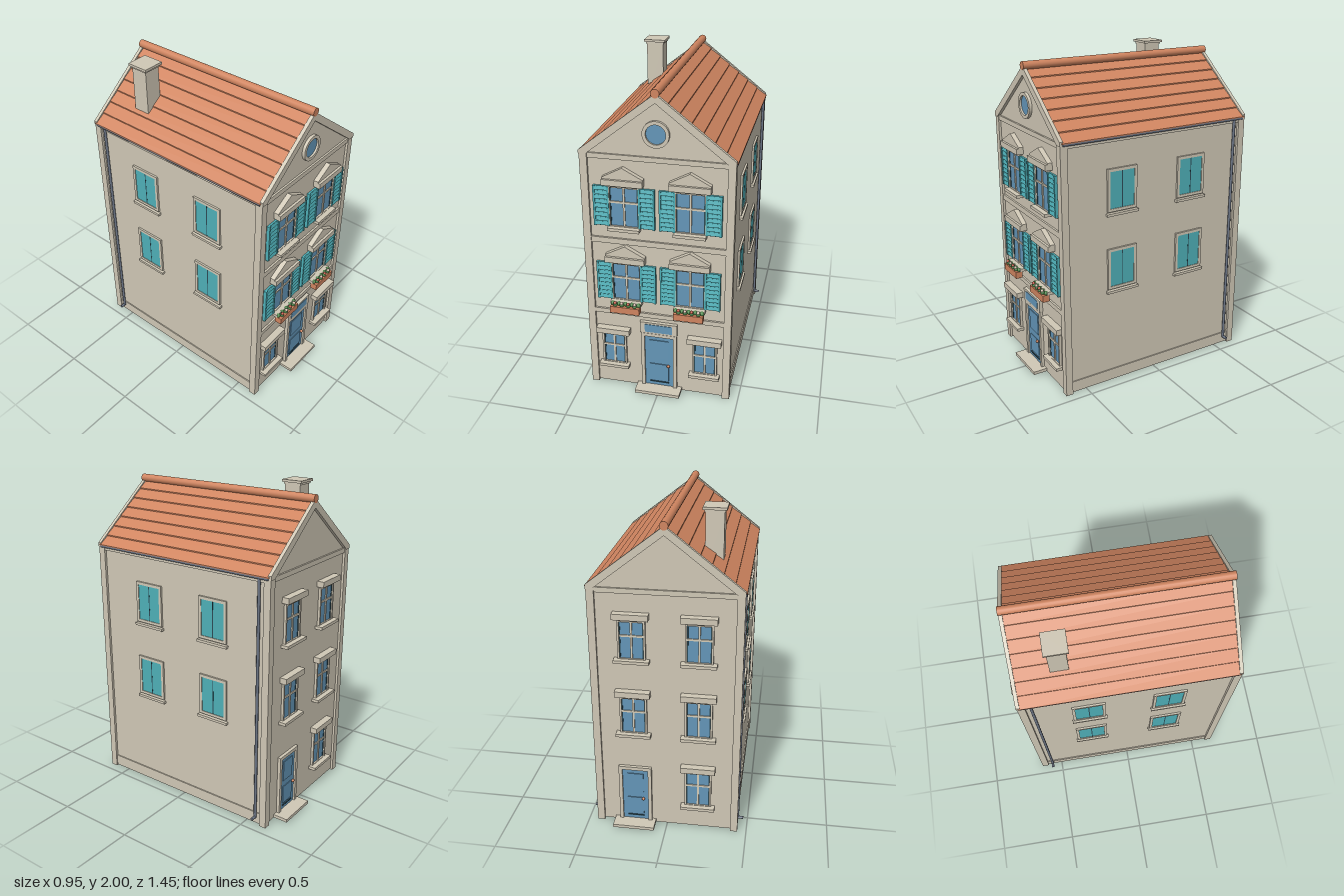
import * as THREE from 'three';

const mat = (name, color) => {
  const m = new THREE.MeshStandardMaterial({ color });
  m.name = name;
  return m;
};
const M = {
  wall: mat('stone', 0xd0c8b6), trim: mat('cream', 0xd6cdb9), roof: mat('terracotta', 0xd08560),
  teal: mat('teal', 0x4fb0b8), blue: mat('window blue', 0x6496b8), metal: mat('zinc', 0x6b7484),
  leaf: mat('foliage', 0x4f8a4c), red: mat('red flower', 0xc8604c), pale: mat('pale flower', 0xd8c0b0),
  dark: mat('dark gap', 0x2c4a55),
};

function add(parent, name, geo, material, x = 0, y = 0, z = 0) {
  const m = new THREE.Mesh(geo, material);
  m.name = name;
  m.position.set(x, y, z);
  parent.add(m);
  return m;
}
// box given by its limits
function box(parent, name, material, x0, x1, y0, y1, z0, z1) {
  return add(parent, name, new THREE.BoxGeometry(x1 - x0, y1 - y0, z1 - z0), material,
    (x0 + x1) / 2, (y0 + y1) / 2, (z0 + z1) / 2);
}
function group(parent, name, x, y, z, ry = 0) {
  const g = new THREE.Group();
  g.name = name;
  g.position.set(x, y, z);
  g.rotation.y = ry;
  parent.add(g);
  return g;
}
function extrude(parent, name, material, pts, z0, z1) {
  const s = new THREE.Shape(pts.map(p => new THREE.Vector2(p[0], p[1])));
  return add(parent, name, new THREE.ExtrudeGeometry(s, { depth: z1 - z0, bevelEnabled: false }), material, 0, 0, z0);
}

// four bars round an opening of half-width a, from y0 to y1
function surround(g, a, y0, y1, t, d) {
  for (const s of [-1, 1]) {
    const c = s * (a + t / 2);
    box(g, 'frameSide', M.wall, c - t / 2, c + t / 2, y0 - t, y1 + t, 0, d);
  }
  box(g, 'frameTop', M.wall, -a, a, y1, y1 + t, 0, d);
  box(g, 'frameBottom', M.wall, -a, a, y0 - t, y0, 0, d);
}
// glazed window facing +z, with cross bars, lintel and sill
function glazed(g, w, h, lintel, sill) {
  const a = w / 2, bar = h * 0.62;
  box(g, 'glass', M.blue, -a, a, 0, h, 0, 0.005);
  surround(g, a, 0, h, 0.012, 0.016);
  box(g, 'mullion', M.trim, -0.006, 0.006, 0, h, 0.004, 0.012);
  box(g, 'transomBar', M.trim, -a, a, bar - 0.006, bar + 0.006, 0.004, 0.011);
  for (const s of [-1, 1])
    box(g, 'casementEdge', M.dark, s * (a - 0.003) - 0.003, s * (a - 0.003) + 0.003, 0, h, 0.003, 0.008);
  box(g, 'lintel', M.wall, -lintel / 2, lintel / 2, h + 0.022, h + 0.058, 0, 0.045);
  box(g, 'lintelBed', M.wall, -a, a, h + 0.012, h + 0.022, 0, 0.03);
  box(g, 'sill', M.wall, -sill / 2, sill / 2, -0.022, -0.003, 0, 0.047);
}
// louvred shutter centred on x
function shutter(g, x, w, y0, y1) {
  const s = group(g, 'shutter', x, 0, 0);
  box(s, 'panel', M.teal, -w / 2, w / 2, y0, y1, 0, 0.012);
  for (const k of [-1, 1]) {
    const c = k * (w / 2 - 0.006);
    box(s, 'stile', M.teal, c - 0.006, c + 0.006, y0, y1, 0.01, 0.02);
  }
  const n = 9, step = (y1 - y0) / n;
  for (let i = 0; i < n; i++) {
    const slat = box(s, 'slat', M.teal, -w / 2 + 0.012, w / 2 - 0.012, y0 + i * step + 0.003, y0 + (i + 1) * step - 0.003, 0.01, 0.016);
    slat.rotation.x = -0.25;
  }
}
function door(g, w, h) {
  const a = w / 2;
  box(g, 'doorLeaf', M.blue, -a, a, 0, h, 0, 0.008);
  surround(g, a, 0, h, 0.022, 0.02);
  for (const [y0, y1] of [[0.06, 0.44], [0.5, 0.92]])
    box(g, 'doorPanel', M.blue, -a + 0.03, a - 0.03, y0 * h + 0.02, y1 * h, 0.006, 0.013);
  box(g, 'kickSlot', M.dark, -a + 0.03, a - 0.03, 0.024, 0.03, 0.006, 0.015);
  add(g, 'knob', new THREE.SphereGeometry(0.01, 12, 8), M.roof, a - 0.03, h * 0.44, 0.022);
}

export function createModel() {
  const house = new THREE.Group();
  house.name = 'townHouse';
  const X = 0.43, Z = 0.63, K = 0.78;

  // body with gable ends
  extrude(house, 'walls', M.wall, [[-X, 0.008], [X, 0.008], [X, 1.58], [0, 1.92], [-X, 1.58]], -Z, Z);
  for (const sx of [-1, 1]) {
    for (const sz of [-1, 1]) {
      const p = box(house, 'cornerPilaster', M.wall, -0.0225, 0.0225, 0, 1.58, -0.0225, 0.0225);
      p.position.x = sx * 0.4225;
      p.position.z = sz * 0.6225;
    }
    const side = group(house, 'sideWall', sx * X, 0, 0, sx * Math.PI / 2);
    box(side, 'plinth', M.wall, -0.6, 0.6, 0.008, 0.08, 0, 0.007);
    box(side, 'eavesBand', M.wall, -0.6, 0.6, 1.55, 1.58, 0, 0.01);
    // closed side shutters
    for (const z of [-0.245, 0.245]) for (const y of [0.655, 1.15]) {
      const w = group(side, 'sideWindow', z, y, 0);
      surround(w, 0.082, 0, 0.225, 0.018, 0.012);
      for (const s of [-1, 1]) box(w, 'closedShutter', M.teal, s * 0.042 - 0.04, s * 0.042 + 0.04, 0, 0.225, 0, 0.008);
      box(w, 'shutterGap', M.dark, -0.003, 0.003, 0, 0.225, 0, 0.0085);
      box(w, 'sill', M.wall, -0.108, 0.108, -0.042, -0.026, 0, 0.022);
    }
    // gutter and drainpipe
    const gutter = add(house, 'gutter', new THREE.CylinderGeometry(0.011, 0.011, 1.26, 10), M.metal, sx * 0.441, 1.576, 0);
    gutter.rotation.x = Math.PI / 2;
    add(house, 'drainpipe', new THREE.CylinderGeometry(0.009, 0.009, 1.52, 10), M.metal, sx * 0.441, 0.815, -0.567);
    const shoe = add(house, 'pipeShoe', new THREE.CylinderGeometry(0.009, 0.009, 0.04, 10), M.metal, sx * 0.456, 0.052, -0.567);
    shoe.rotation.z = Math.PI / 2;
    // stepped tile courses
    const n = 7, w = 0.452 / n, pts = [[0, 1.91]];
    for (let i = 0; i < n; i++) {
      const a = i * w, b = a + w;
      pts.push([sx * a, 1.931 - K * a], [sx * b, 1.938 - K * b]);
    }
    pts.push([sx * 0.452, 1.58]);
    extrude(house, 'tiledSlope', M.roof, pts, -0.636, 0.636);
  }

  // gable copings, cornices and ridge
  for (const s of [-1, 1]) {
    const c = s * 0.638;
    extrude(house, 'gableCoping', M.wall, [[-0.447, 1.595], [0, 1.944], [0.447, 1.595], [0.447, 1.57],
      [0.41, 1.57], [0, 1.892], [-0.41, 1.57], [-0.447, 1.57]], c - 0.011, c + 0.011);
    box(house, 'cornice', M.wall, -0.4, 0.4, 1.55, 1.58, s * 0.634 - 0.007, s * 0.634 + 0.007);
  }
  const ridge = add(house, 'ridgeTile', new THREE.CylinderGeometry(0.025, 0.025, 1.3, 16), M.roof, 0, 1.945, 0);
  ridge.rotation.x = Math.PI / 2;

  // chimney
  const ch = group(house, 'chimney', -0.248, 0, -0.374);
  box(ch, 'stack', M.wall, -0.053, 0.053, 1.62, 1.975, -0.053, 0.053);
  box(ch, 'collar', M.wall, -0.058, 0.058, 1.972, 1.985, -0.058, 0.058);
  box(ch, 'cap', M.wall, -0.068, 0.068, 1.985, 2, -0.068, 0.068);

  // front
  const front = group(house, 'front', 0, 0, Z);
  box(front, 'lowerCourse', M.wall, -0.4, 0.4, 0.53, 0.56, 0, 0.012);
  box(front, 'upperCourse', M.wall, -0.4, 0.4, 1.02, 1.055, 0, 0.012);
  for (const s of [-1, 1]) {
    glazed(group(front, 'groundWindow', s * 0.286, 0.17, 0), 0.13, 0.205, 0.21, 0.19);
    for (const y of [0.645, 1.14]) {
      const g = group(front, 'upperWindow', s * 0.194, y, 0);
      glazed(g, 0.165, 0.24, 0.24, 0.19);
      extrude(g, 'pediment', M.wall, [[-0.12, 0.298], [0.12, 0.298], [0.12, 0.306], [0, 0.37], [-0.12, 0.306]], 0, 0.03);
      for (const k of [-1, 1]) shutter(g, k * 0.134, 0.094, -0.005, 0.245);
    }
    // flower box
    const fb = group(front, 'flowerBox', s * 0.194, 0.58, 0);
    box(fb, 'trough', M.roof, -0.09, 0.09, 0, 0.043, 0.03, 0.075);
    for (let i = 0; i < 9; i++) {
      const x = -0.08 + i * 0.02;
      add(fb, 'leaves', new THREE.SphereGeometry(0.014, 8, 6), M.leaf, x, 0.052, 0.052 + (i % 2 ? 0.008 : -0.006));
      if (i % 2) add(fb, 'blossom', new THREE.SphereGeometry(0.01, 8, 6), i % 4 === 1 ? M.red : M.pale, x, 0.065, 0.064);
    }
  }
  door(group(front, 'frontDoor', 0, 0.03, 0), 0.18, 0.37);
  box(front, 'doorHeadBlock', M.wall, -0.116, 0.116, 0.425, 0.502, 0, 0.022);
  box(front, 'fanlight', M.blue, -0.085, 0.085, 0.436, 0.49, 0.02, 0.025);
  box(front, 'frontStep', M.wall, -0.142, 0.142, 0.01, 0.03, -0.02, 0.09);

  // round attic window
  const oc = group(front, 'roundWindow', 0, 1.715, 0);
  const ring = new THREE.Shape();
  ring.absarc(0, 0, 0.077, 0, Math.PI * 2);
  const hole = new THREE.Path();
  hole.absarc(0, 0, 0.057, 0, Math.PI * 2, true);
  ring.holes.push(hole);
  add(oc, 'roundFrame', new THREE.ExtrudeGeometry(ring, { depth: 0.018, bevelEnabled: false, curveSegments: 24 }), M.wall);
  add(oc, 'roundGlass', new THREE.CircleGeometry(0.058, 32), M.blue, 0, 0, 0.006);

  // back
  const back = group(house, 'back', 0, 0, -Z, Math.PI);
  for (const x of [-0.195, 0.195]) for (const y of [0.175, 0.665, 1.155]) {
    if (x < 0 && y < 0.5) continue;
    glazed(group(back, 'backWindow', x, y, 0), 0.14, 0.225, 0.21, 0.21);
  }
  door(group(back, 'backDoor', -0.195, 0.03, 0), 0.16, 0.365);
  box(back, 'backStep', M.wall, -0.328, -0.07, 0.01, 0.03, -0.02, 0.095);
  return house;
}
